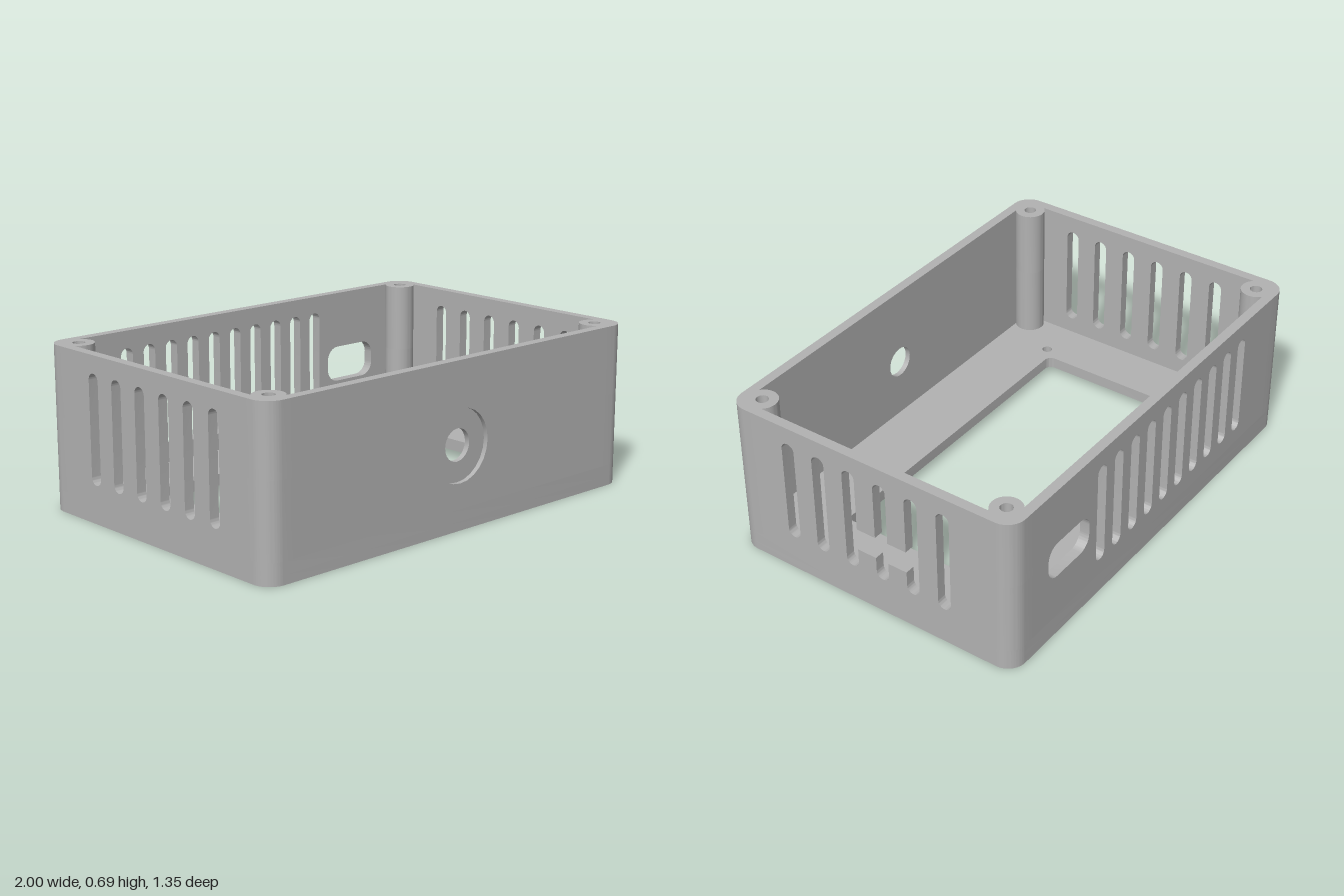
import * as THREE from 'three';
import { toCreasedNormals } from 'three/addons/utils/BufferGeometryUtils.js';

const HX = 1, HZ = 0.677, TOP = 0.695;          // outer half sizes and height
const WALL = 0.043, RECESS = 0.04, FLOOR = 0.09; // wall thickness, recess depth, floor top
const POST_R = 0.065, POST_IN = 0.094;           // screw post radius and inset from the corner
const CORNER_LEN = POST_IN + Math.sqrt(POST_R ** 2 - (POST_IN - WALL) ** 2);

function roundedRect(path, cx, cy, hw, hh, r) {
  path.moveTo(cx - hw + r, cy - hh);
  path.absarc(cx + hw - r, cy - hh + r, r, -Math.PI / 2, 0);
  path.absarc(cx + hw - r, cy + hh - r, r, 0, Math.PI / 2);
  path.absarc(cx - hw + r, cy + hh - r, r, Math.PI / 2, Math.PI);
  path.absarc(cx - hw + r, cy - hh + r, r, Math.PI, Math.PI * 1.5);
  path.closePath();
  return path;
}

const circle = (x, y, r) => new THREE.Path().absarc(x, y, r, 0, Math.PI * 2);

// Vertical vent slot; several centres give slots joined by a cross opening
function slot(centres) {
  const h = 0.03, low = 0.162, high = 0.62, barLow = 0.256, barHigh = 0.355;
  const p = new THREE.Path();
  p.moveTo(centres[0] - h, barLow);
  centres.forEach((u, i) => {
    if (i) p.lineTo(u - h, barLow);
    p.absarc(u, low + h, h, Math.PI, Math.PI * 2);
    p.lineTo(u + h, barLow);
  });
  [...centres].reverse().forEach((u) => {
    p.lineTo(u + h, barHigh);
    p.absarc(u, high - h, h, 0, Math.PI);
    p.lineTo(u - h, barHigh);
  });
  p.closePath();
  return p;
}

function extrude(shape, holes, depth) {
  shape.holes.push(...holes);
  const g = new THREE.ExtrudeGeometry(shape, { depth, bevelEnabled: false, curveSegments: 12 });
  return toCreasedNormals(g, 0.6);
}

export function createModel() {
  const model = new THREE.Group();
  const grey = new THREE.MeshStandardMaterial({ color: 0xb2b2b2 });
  grey.name = 'casing grey';

  function add(name, geometry, parent = model) {
    const mesh = new THREE.Mesh(geometry, grey);
    mesh.name = name;
    parent.add(mesh);
    return mesh;
  }

  // Horizontal slab between two heights
  function slab(name, shape, holes, y0, y1, parent) {
    const g = extrude(shape, holes, y1 - y0);
    g.rotateX(-Math.PI / 2);
    g.translate(0, y0, 0);
    return add(name, g, parent);
  }

  // Upright wall layer; local z points outwards after turning
  function wall(name, halfWidth, holes, angle, inner, thickness) {
    const s = new THREE.Shape();
    s.moveTo(-halfWidth, FLOOR);
    s.lineTo(halfWidth, FLOOR);
    s.lineTo(halfWidth, TOP);
    s.lineTo(-halfWidth, TOP);
    s.closePath();
    const g = extrude(s, holes, thickness);
    g.translate(0, 0, inner);
    g.rotateY(angle);
    return add(name, g);
  }

  // Floor: recessed underside below, window and screw holes above
  const outline = () => roundedRect(new THREE.Shape(), 0, 0, HX, HZ, 0.08);
  const recess = new THREE.Path().setFromPoints([
    new THREE.Vector2(-0.86, -0.46), new THREE.Vector2(0.86, -0.46),
    new THREE.Vector2(0.86, 0.46), new THREE.Vector2(-0.86, 0.46),
  ]);
  slab('undersideRim', outline(), [recess], 0, RECESS);
  const floorHoles = [roundedRect(new THREE.Path(), 0, 0, 0.723, 0.347, 0.03)];
  for (const x of [-0.767, 0.767]) for (const z of [-0.388, 0.388]) floorHoles.push(circle(x, z, 0.022));
  slab('floor', outline(), floorHoles, RECESS, FLOOR);

  // Front wall with a counterbored round hole
  const longHalf = HX - CORNER_LEN, shortHalf = HZ - CORNER_LEN, bore = 0.02;
  wall('frontWallInner', longHalf, [circle(0, 0.348, 0.068)], 0, HZ - WALL, WALL - bore);
  wall('frontWallOuter', longHalf, [circle(0, 0.348, 0.153)], 0, HZ - bore, bore);

  // Back wall with ten vents and a rounded socket opening
  const backHoles = [roundedRect(new THREE.Path(), -0.635, 0.365, 0.137, 0.08, 0.06)];
  for (let i = 0; i < 10; i++) backHoles.push(slot([0.108 + (i - 4.5) * 0.1165]));
  wall('backWall', longHalf, backHoles, Math.PI, HZ - WALL, WALL);

  // Side walls with six vents each; three on the left are joined by a cross opening
  const vents = [0, 1, 2, 3, 4, 5].map((i) => -0.382 + i * 0.1484);
  const joined = [slot([vents[0]]), slot([vents[1]]), slot(vents.slice(2, 5)), slot([vents[5]])];
  wall('leftWall', shortHalf, joined, Math.PI / 2, HX - WALL, WALL);
  wall('rightWall', shortHalf, vents.map((u) => slot([-u])), -Math.PI / 2, HX - WALL, WALL);

  // Rounded corners merged with screw posts, the screw hole in the upper part
  function cornerShape() {
    const s = new THREE.Shape(), r = 0.08;
    const a = Math.atan2(POST_IN - WALL, POST_IN - CORNER_LEN);
    s.moveTo(-WALL, -CORNER_LEN);
    s.lineTo(0, -CORNER_LEN);
    s.absarc(-r, -r, r, 0, Math.PI / 2);
    s.lineTo(-CORNER_LEN, 0);
    s.absarc(-POST_IN, -POST_IN, POST_R, a, Math.PI * 2.5 - a);
    s.closePath();
    return s;
  }
  const corners = [[1, -1], [-1, -1], [-1, 1], [1, 1]];
  corners.forEach(([sx, sz], i) => {
    const post = new THREE.Group();
    post.name = 'cornerPost' + (i + 1);
    post.position.set(sx * HX, 0, sz * HZ);
    post.rotation.y = i * Math.PI / 2;
    slab('postLower', cornerShape(), [], FLOOR, 0.4, post);
    slab('postUpper', cornerShape(), [circle(-POST_IN, -POST_IN, 0.026)], 0.4, TOP, post);
    model.add(post);
  });

  return model;
}
